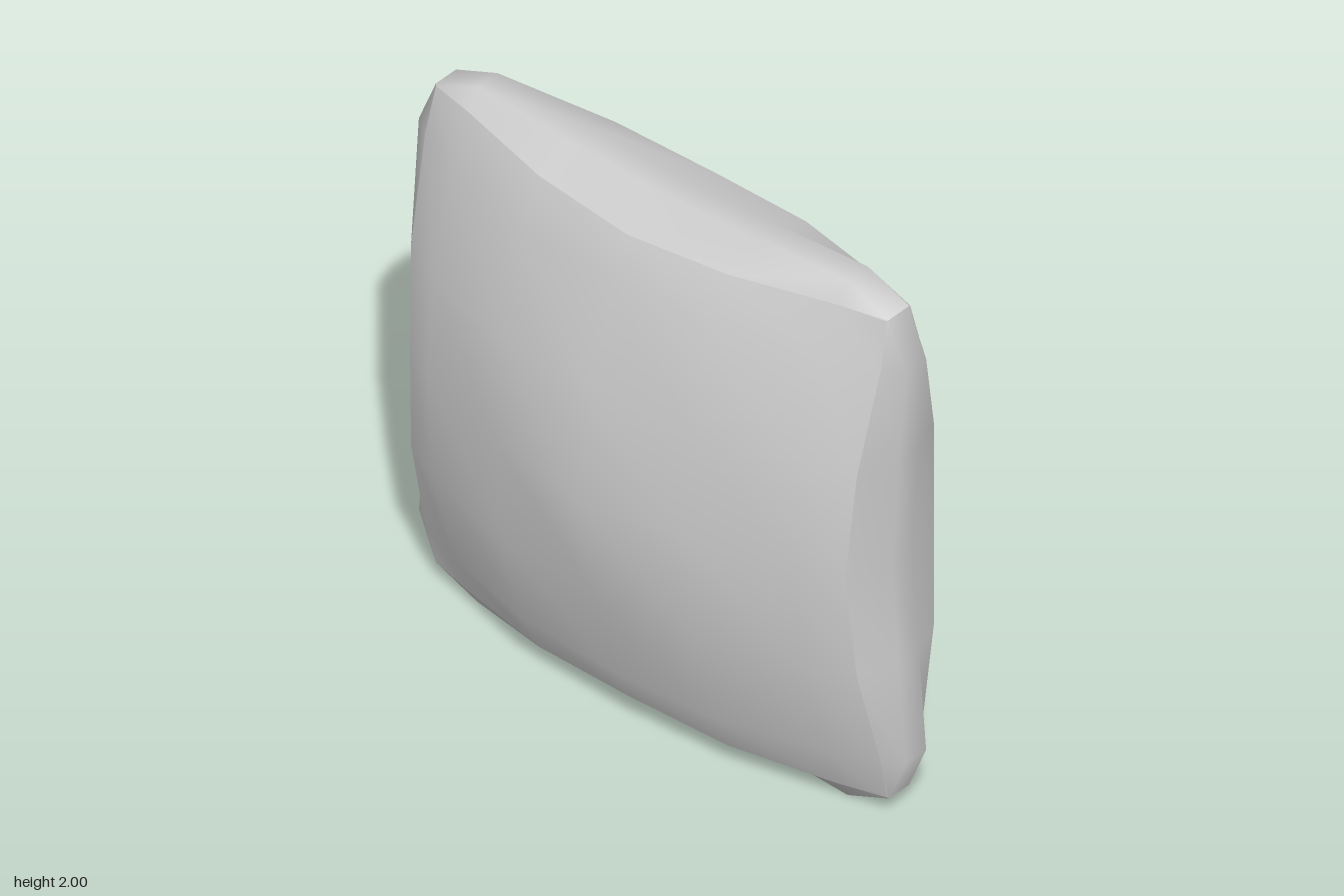
import * as THREE from 'three';

// Grid steps from the centre (0) to the seam (3); all four quadrants are mirrored.
const ALONG = [0, 0.39, 0.76, 0.92];
// Pinched outline of the two panels, and the outermost outline of the side band
const SEAM = { x: [0.893, 0.915, 0.935, 0.925], y: [0.895, 0.915, 0.93, 0.925] };
const RIM = { x: [0.943, 0.97, 1.0, 0.93], y: [0.962, 0.98, 1.0, 0.93] };
const FRONT_Z = [
  [0.38, 0.30, 0.20, 0.13],
  [0.30, 0.28, 0.18, 0.10],
  [0.20, 0.18, 0.08, 0.01],
  [0.13, 0.10, 0.01, -0.03],
];
const BACK_Z = [
  [-0.345, -0.345, -0.355, -0.29],
  [-0.345, -0.385, -0.33, -0.265],
  [-0.355, -0.33, -0.225, -0.18],
  [-0.29, -0.265, -0.18, -0.14],
];

// Point of the grid at step i across and j up, each from -3 to 3
function gridPoint(i, j, outline, depth) {
  const a = Math.abs(i), b = Math.abs(j);
  const x = Math.sign(i) * (a === 3 ? outline.x[b] : ALONG[a]);
  const y = Math.sign(j) * (b === 3 ? outline.y[a] : ALONG[b]);
  return [x, 1 + y, typeof depth === 'number' ? depth : depth[a][b]];
}

// Smooth sheet over a grid of points, seven to a row
function makeSheet(name, points, reversed) {
  const index = [];
  for (let r = 0; r < points.length / 7 - 1; r++) {
    for (let k = 0; k < 6; k++) {
      const a = r * 7 + k, b = a + 1, c = a + 8, d = a + 7;
      index.push(...(reversed ? [a, d, b, b, d, c] : [a, b, d, b, c, d]));
    }
  }
  const geometry = new THREE.BufferGeometry();
  geometry.setAttribute('position', new THREE.Float32BufferAttribute(points.flat(), 3));
  geometry.setIndex(index);
  geometry.computeVertexNormals();
  const mesh = new THREE.Mesh(geometry, new THREE.MeshStandardMaterial({ color: 0xcccccc }));
  mesh.name = name;
  return mesh;
}

// Bulging front or back panel
function makePanel(name, depth, facesBack) {
  const points = [];
  for (let j = -3; j <= 3; j++) {
    for (let i = -3; i <= 3; i++) points.push(gridPoint(i, j, SEAM, depth));
  }
  return makeSheet(name, points, facesBack);
}

// One side of the band: four rows from the front seam to the back seam.
// The sides are separate so that the corners between them stay crisp.
function makeSide(name, stepAt) {
  const points = [];
  for (const [outline, depth] of [[SEAM, FRONT_Z], [RIM, -0.035], [RIM, -0.13], [SEAM, BACK_Z]]) {
    for (let k = -3; k <= 3; k++) points.push(gridPoint(...stepAt(k), outline, depth));
  }
  return makeSheet(name, points, true);
}

export function createModel() {
  const cushion = new THREE.Group();
  cushion.name = 'cushion';
  cushion.add(
    makePanel('frontPanel', FRONT_Z, false),
    makePanel('backPanel', BACK_Z, true),
    makeSide('bottomSide', (k) => [k, -3]),
    makeSide('leftSide', (k) => [3, k]),
    makeSide('topSide', (k) => [-k, 3]),
    makeSide('rightSide', (k) => [-3, -k]),
  );
  return cushion;
}
